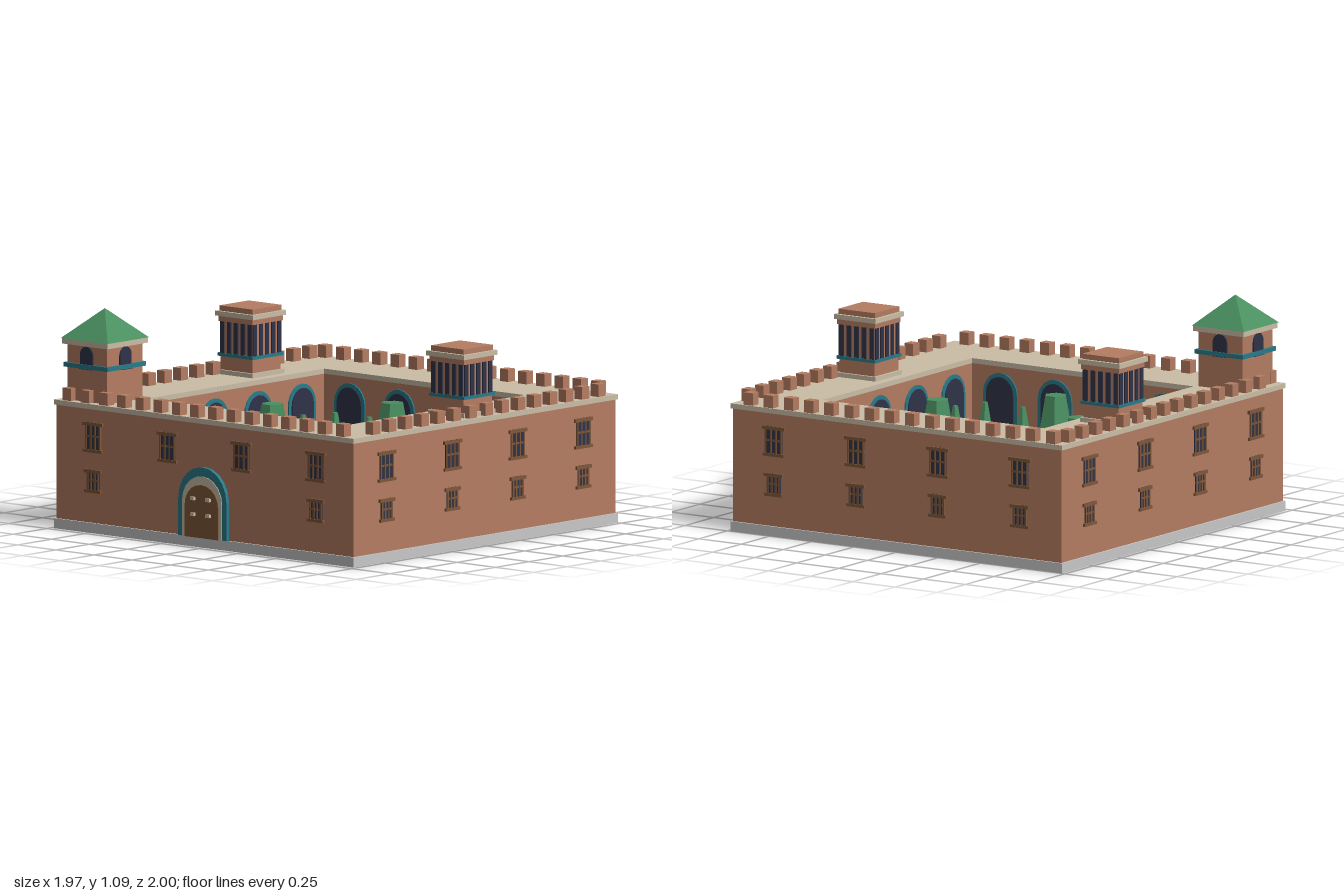
import * as THREE from 'three';

const mat = (name, color, opts = {}) => {
  const m = new THREE.MeshStandardMaterial({ color, flatShading: true, ...opts });
  m.name = name;
  return m;
};

export function createModel() {
  const brick = mat('brick', 0xb57d62), cream = mat('cream', 0xcbbea7), stone = mat('stone', 0xc8c8c8);
  const green = mat('green', 0x4a8f60), dark = mat('darkGlass', 0x2f3348), teal = mat('teal', 0x2a7b8b);
  const wood = mat('wood', 0x80583a);

  const model = new THREE.Group();
  const group = (parent, name, x = 0, y = 0, z = 0) => {
    const g = new THREE.Group();
    g.name = name;
    g.position.set(x, y, z);
    parent.add(g);
    return g;
  };
  const add = (parent, name, geo, m, x = 0, y = 0, z = 0) => {
    const mesh = new THREE.Mesh(geo, m);
    mesh.name = name;
    mesh.position.set(x, y, z);
    parent.add(mesh);
    return mesh;
  };
  // Box standing on y
  const box = (p, name, m, w, h, d, x, y, z) =>
    add(p, name, new THREE.BoxGeometry(w, h, d), m, x, y + h / 2, z);
  // Tapered prism standing on y, with corners on the x axis when six-sided
  const prism = (p, name, m, rTop, rBottom, h, sides, x, y, z, turn = Math.PI / 2) =>
    add(p, name, new THREE.CylinderGeometry(rTop, rBottom, h, sides).rotateY(turn), m, x, y + h / 2, z);
  // Square ring lying flat
  const square = (Type, r) => new Type([[-r, -r], [r, -r], [r, r], [-r, r]].map(c => new THREE.Vector2(...c)));
  const ring = (p, name, m, outer, inner, y, h) => {
    const s = square(THREE.Shape, outer);
    s.holes.push(square(THREE.Path, inner));
    const geo = new THREE.ExtrudeGeometry(s, { depth: h, bevelEnabled: false }).rotateX(-Math.PI / 2);
    return add(p, name, geo, m, 0, y, 0);
  };
  // Upright arched panel facing +z, from y to top
  const arch = (p, name, m, w, y, spring, top, depth, x, z) => {
    const s = new THREE.Shape();
    s.moveTo(-w, y);
    s.lineTo(w, y);
    for (let i = 0; i <= 10; i++) {
      const a = Math.PI * i / 10;
      s.lineTo(w * Math.cos(a), spring + (top - spring) * Math.sin(a));
    }
    return add(p, name, new THREE.ExtrudeGeometry(s, { depth, bevelEnabled: false }), m, x, 0, z);
  };

  const HALF = 0.973, COURT = 0.657;
  const castle = group(model, 'palace', 0, 0, -0.015);

  // Base, walls, roof terrace
  box(castle, 'base', stone, 1.966, 0.05, 1.966, 0, 0, 0);
  ring(castle, 'walls', brick, HALF, COURT, 0.05, 0.565);
  ring(castle, 'roofTerrace', cream, 0.983, COURT, 0.615, 0.025);
  box(castle, 'lawn', green, 1.312, 0.015, 1.312, 0, 0.05, 0);

  // Barred windows with lintel and sill
  const barredWindow = (p, x, y, w, h) => {
    const g = group(p, 'window', x, y, HALF);
    box(g, 'windowGlass', dark, w, h, 0.008, 0, 0, 0.002);
    box(g, 'lintel', wood, w + 0.03, 0.017, 0.024, 0, h - 0.017, 0);
    box(g, 'sill', wood, w + 0.025, 0.015, 0.024, 0, 0, 0);
    for (let i = 0; i < 4; i++)
      box(g, 'bar', wood, 0.01, h, 0.018, (i / 3 - 0.5) * (w - 0.01), 0, 0);
    box(g, 'crossbar', wood, w, 0.01, 0.016, 0, h / 2, 0);
  };
  for (let side = 0; side < 4; side++) {
    const wall = group(castle, 'wallDetails');
    wall.rotation.y = side * Math.PI / 2;
    for (const x of [-0.73, -0.243, 0.243, 0.73]) {
      barredWindow(wall, x, 0.4, 0.1, 0.15);
      if (side > 0 || Math.abs(x) > 0.5) barredWindow(wall, x, 0.2, 0.08, 0.115);
    }
    // Courtyard arcade on two floors
    for (const x of [-0.486, -0.162, 0.162, 0.486])
      for (const [y, spring, top] of [[0.31, 0.48, 0.585], [0.065, 0.18, 0.272]]) {
        arch(wall, 'arcadeFrame', teal, 0.1, y, spring, top, 0.008, x, -COURT);
        arch(wall, 'arcadeOpening', dark, 0.08, y, spring, top - 0.02, 0.013, x, -COURT);
      }
    box(wall, 'hedge', green, 1.1, 0.03, 0.05, 0, 0.065, -0.6);
  }

  // Entrance
  const gate = group(castle, 'gate', 0, 0, HALF);
  arch(gate, 'gateOuterArch', teal, 0.158, 0.05, 0.235, 0.402, 0.02, 0, 0);
  arch(gate, 'gateInnerArch', cream, 0.13, 0.05, 0.225, 0.357, 0.024, 0, 0);
  arch(gate, 'gateDoor', wood, 0.109, 0.05, 0.21, 0.314, 0.028, 0, 0);
  for (const x of [-0.05, 0.05])
    for (const y of [0.157, 0.236]) box(gate, 'doorStud', cream, 0.025, 0.016, 0.018, x, y, 0.033);

  // Battlements
  for (let i = 0; i < 16; i++)
    for (const z of [-0.95, 0.945])
      box(castle, 'merlon', brick, 0.055, 0.062, 0.05, -0.91 + i * 0.1195, 0.64, z);
  for (let i = 0; i < 15; i++)
    for (const x of [-0.947, 0.947])
      box(castle, 'merlon', brick, 0.05, 0.062, 0.055, x, 0.64, -0.875 + i * 0.1195);

  // Gallery with planted shrubs
  ring(castle, 'gallery', stone, COURT, 0.588, 0.28, 0.03);
  const shrub = (x, z) => {
    box(castle, 'planter', stone, 0.055, 0.025, 0.055, x, 0.31, z);
    prism(castle, 'shrub', green, 0.014, 0.034, 0.1, 6, x, 0.335, z);
  };
  for (const s of [-1, 1]) {
    for (const x of [-0.56, -0.336, -0.112, 0.112, 0.336, 0.56]) shrub(x, s * 0.628);
    for (const z of [-0.468, -0.234, 0, 0.234, 0.468]) shrub(s * 0.628, z);
    for (const t of [-1, 1]) box(castle, 'galleryPost', stone, 0.025, 0.215, 0.025, s * 0.577, 0.065, t * 0.577);
  }

  // Courtyard trees
  for (const [x, z] of [[-0.418, 0], [0.418, 0], [0, -0.418], [0, 0.418]]) {
    prism(castle, 'treeTrunk', wood, 0.02, 0.025, 0.13, 6, x, 0.065, z);
    prism(castle, 'treeCrown', green, 0.056, 0.129, 0.39, 6, x, 0.175, z);
  }

  // Fountain
  const fountain = group(castle, 'fountain', 0, 0.065, 0);
  prism(fountain, 'basin', stone, 0.095, 0.095, 0.045, 8, 0, 0, 0);
  prism(fountain, 'water', teal, 0.082, 0.082, 0.006, 8, 0, 0.042, 0);
  prism(fountain, 'pedestal', stone, 0.02, 0.03, 0.09, 8, 0, 0.02, 0);
  prism(fountain, 'upperBowl', stone, 0.055, 0.03, 0.025, 8, 0, 0.1, 0);
  prism(fountain, 'spout', stone, 0.012, 0.014, 0.03, 8, 0, 0.125, 0);

  // Palm
  const palm = group(castle, 'palm', 0.55, 0.065, -0.555);
  prism(palm, 'palmTrunk', wood, 0.014, 0.02, 0.45, 6, 0, 0, 0);
  for (let i = 0; i < 6; i++) {
    const frond = add(palm, 'palmFrond', new THREE.BoxGeometry(0.18, 0.012, 0.03).translate(0.095, 0, 0),
      green, 0, 0.445, 0);
    frond.rotation.set(0, i * Math.PI / 3, -0.25);
  }

  // Corner watchtower with pyramid roof
  const tower = group(castle, 'watchtower', -0.805, 0, 0.805);
  box(tower, 'towerBody', brick, 0.262, 0.28, 0.262, 0, 0.64, 0);
  box(tower, 'towerBand', teal, 0.288, 0.022, 0.288, 0, 0.804, 0);
  box(tower, 'towerEaves', cream, 0.3, 0.027, 0.3, 0, 0.918, 0);
  prism(tower, 'towerRoof', green, 0, 0.154 * Math.SQRT2, 0.147, 4, 0, 0.945, 0, Math.PI / 4);
  for (let k = 0; k < 4; k++) {
    const face = group(tower, 'towerFace');
    face.rotation.y = k * Math.PI / 2;
    arch(face, 'towerWindow', dark, 0.042, 0.802, 0.87, 0.915, 0.009, 0, 0.13);
    arch(face, 'towerWindowFoot', dark, 0.042, 0.802, 0.803, 0.804, 0.016, 0, 0.13);
  }

  // Two open-sided roof pavilions
  for (const [x, z] of [[0.825, 0], [-0.825, -0.3]]) {
    const p = group(castle, 'pavilion', x, 0, z);
    box(p, 'pavilionPlinth', cream, 0.235, 0.022, 0.235, 0, 0.64, 0);
    box(p, 'pavilionBody', brick, 0.21, 0.275, 0.21, 0, 0.655, 0);
    box(p, 'pavilionBand', teal, 0.23, 0.016, 0.23, 0, 0.73, 0);
    box(p, 'pavilionFrieze', brick, 0.225, 0.027, 0.225, 0, 0.903, 0);
    box(p, 'pavilionCornice', cream, 0.248, 0.024, 0.248, 0, 0.93, 0);
    box(p, 'pavilionRoof', brick, 0.216, 0.026, 0.216, 0, 0.954, 0);
    for (let k = 0; k < 4; k++) {
      const face = group(p, 'pavilionFace');
      face.rotation.y = k * Math.PI / 2;
      for (let i = -2; i <= 2; i++)
        box(face, 'pavilionOpening', dark, 0.026, 0.157, 0.008, i * 0.045, 0.746, 0.107);
    }
  }
  return model;
}
